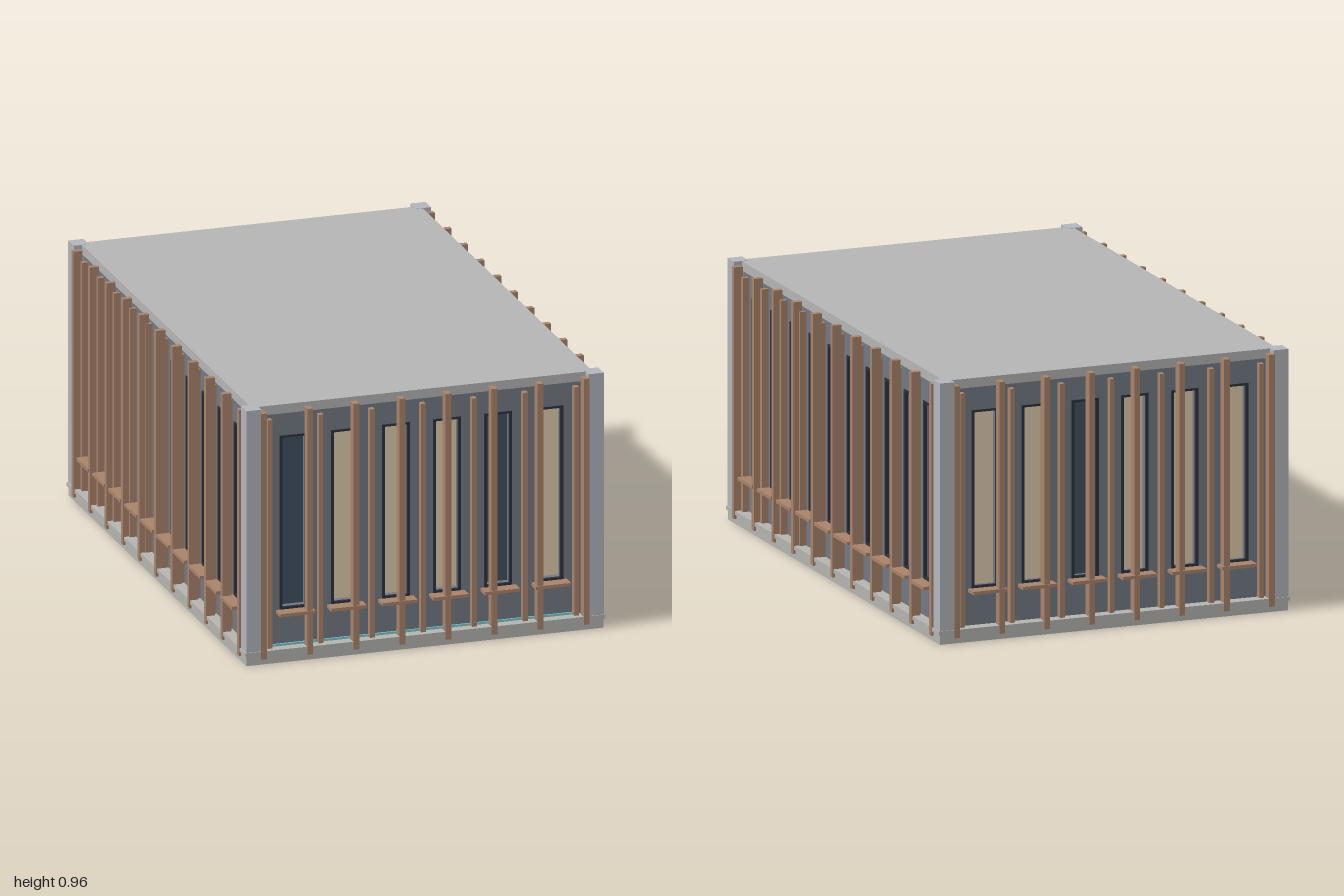
import * as THREE from 'three';

const mat = (color, extra = {}) => new THREE.MeshStandardMaterial({ color, ...extra });
const MATS = {
  concrete: mat(0xb3b3b0), roof: mat(0xb4b4b4), post: mat(0xb2b5bc), wall: mat(0x727883),
  frame: mat(0x2c313a), dark: mat(0x40505f), lit: mat(0xdfcdad), wood: mat(0xa8836a), strip: mat(0x7cc4cc),
};

// Window opening, sill and recess sizes shared by all facades
const WIN = { w: 0.104, y0: 0.185, y1: 0.835, depth: 0.06 };

function add(parent, name, geometry, material, x = 0, y = 0, z = 0) {
  const m = new THREE.Mesh(geometry, material);
  m.name = name;
  m.position.set(x, y, z);
  parent.add(m);
  return m;
}

// Box given by its min and max on each axis
function box(parent, name, material, [x0, x1], [y0, y1], [z0, z1]) {
  return add(parent, name, new THREE.BoxGeometry(x1 - x0, y1 - y0, z1 - z0), material,
    (x0 + x1) / 2, (y0 + y1) / 2, (z0 + z1) / 2);
}

function rect(Type, x0, y0, x1, y1) {
  const p = new Type();
  p.moveTo(x0, y0);
  p.lineTo(x1, y0);
  p.lineTo(x1, y1);
  p.lineTo(x0, y1);
  p.closePath();
  return p;
}

// One facade, built facing +z with its wall surface at z = face
function facade({ name, half, face, spacing, majorSpan, majors, pattern, strip }) {
  const g = new THREE.Group();
  g.name = name;
  const n = pattern.length;
  const hw = WIN.w / 2;
  const centres = [...pattern].map((_, i) => (i - (n - 1) / 2) * spacing);

  // Wall panel with window openings
  const shape = rect(THREE.Shape, -half, 0.04, half, 0.925);
  centres.forEach(x => shape.holes.push(rect(THREE.Path, x - hw, WIN.y0, x + hw, WIN.y1)));
  add(g, 'wall', new THREE.ExtrudeGeometry(shape, { depth: WIN.depth, bevelEnabled: false }),
    MATS.wall, 0, 0, face - WIN.depth);

  // Frame ring, shared by every window
  const ring = rect(THREE.Shape, -hw, WIN.y0, hw, WIN.y1);
  ring.holes.push(rect(THREE.Path, -hw + 0.01, WIN.y0 + 0.008, hw - 0.01, WIN.y1 - 0.008));
  const ringGeo = new THREE.ExtrudeGeometry(ring, { depth: 0.012, bevelEnabled: false });

  centres.forEach((x, i) => {
    const win = new THREE.Group();
    win.name = 'window';
    win.position.x = x;
    g.add(win);
    add(win, 'windowFrame', ringGeo, MATS.frame, 0, 0, face - 0.008);
    box(win, 'windowPane', pattern[i] === 'd' ? MATS.dark : MATS.lit,
      [-hw, hw], [WIN.y0, WIN.y1], [face - WIN.depth - 0.005, face - WIN.depth + 0.008]);
    box(win, 'windowSill', MATS.wood, [-0.066, 0.066], [0.172, 0.184], [face - 0.01, face + 0.05]);
  });

  // Tall fins, running past the base
  for (let i = 0; i < majors; i++) {
    const x = -majorSpan + (2 * majorSpan * i) / (majors - 1);
    box(g, 'tallFin', MATS.wood, [x - 0.011, x + 0.011], [0.02, 0.94], [face + 0.012, face + 0.046]);
  }

  // Short fins, between the windows
  for (let i = 0; i <= n; i++) {
    const x = (i - n / 2) * spacing;
    box(g, 'shortFin', MATS.wood, [x - 0.009, x + 0.009], [0.05, 0.905], [face - 0.005, face + 0.024]);
  }

  // Coloured strip along the foot of the wall
  if (strip) box(g, 'footStrip', MATS.strip, [-half + 0.04, half - 0.04], [0.05, 0.058], [face - 0.005, face + 0.006]);
  return g;
}

export function createModel() {
  const root = new THREE.Group();
  root.name = 'building';

  // Base, ledge, closed core and roof
  box(root, 'base', MATS.concrete, [-0.667, 0.667], [0, 0.036], [-0.99, 0.99]);
  box(root, 'baseLedge', MATS.concrete, [-0.673, 0.673], [0.036, 0.05], [-0.995, 0.995]);
  box(root, 'core', MATS.wall, [-0.565, 0.565], [0.04, 0.93], [-0.885, 0.885]);
  box(root, 'roof', MATS.roof, [-0.637, 0.637], [0.92, 0.954], [-0.957, 0.957]);

  // Corner posts
  for (const sx of [-1, 1]) for (const sz of [-1, 1]) {
    add(root, 'cornerPost', new THREE.BoxGeometry(0.057, 0.91, 0.062), MATS.post, sx * 0.6395, 0.5, sz * 0.961);
  }

  // Four facades
  const short = { half: 0.62, face: 0.95, spacing: 0.191, majorSpan: 0.603, majors: 8 };
  const long = { half: 0.94, face: 0.63, spacing: 0.178, majorSpan: 0.92, majors: 11 };
  const sides = [
    [{ ...short, name: 'frontFacade', pattern: 'dllldl', strip: true }, 0],
    [{ ...long, name: 'leftFacade', pattern: 'llldllldll' }, Math.PI / 2],
    [{ ...short, name: 'backFacade', pattern: 'lldlll' }, Math.PI],
    [{ ...long, name: 'rightFacade', pattern: 'llldllldll' }, -Math.PI / 2],
  ];
  for (const [spec, angle] of sides) {
    const f = facade(spec);
    f.rotation.y = angle;
    root.add(f);
  }
  return root;
}
